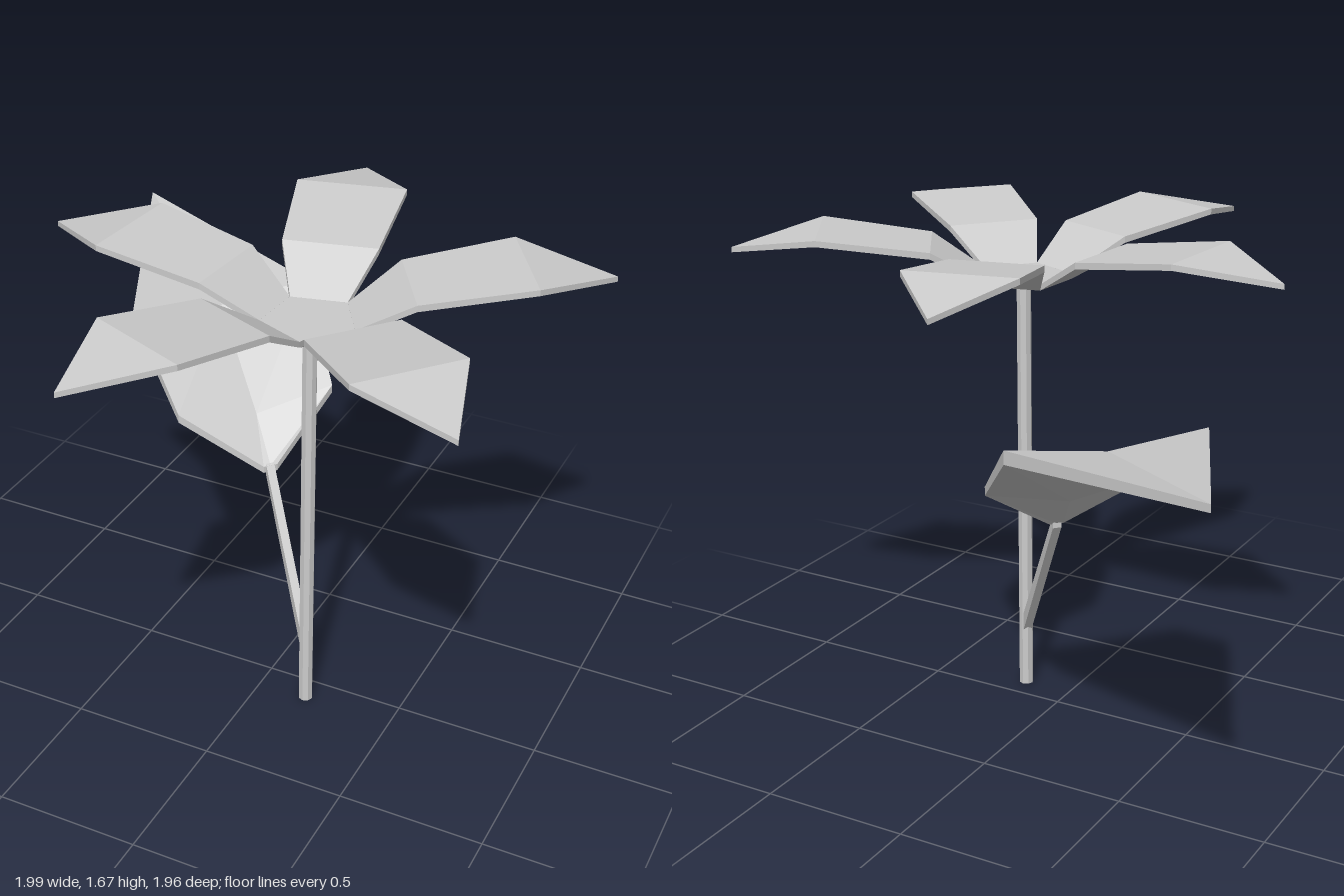
import * as THREE from 'three';

const grey = new THREE.MeshStandardMaterial({ color: 0xcccccc, flatShading: true });
const CENTRE = [0.177, 0.088]; // x, z of the stem

// Faceted slab growing along +x. Each row: [distance, half width, edge height, fold depth, thickness]
function slab(rows) {
  const pos = [];
  const top = rows.map(([u, w, y, fold]) => [
    new THREE.Vector3(u, y, -w), new THREE.Vector3(u, y - fold, 0), new THREE.Vector3(u, y, w),
  ]);
  const low = top.map((row, i) => row.map((p) => p.clone().setY(p.y - rows[i][4])));
  const tri = (a, b, c) => {
    const n = b.clone().sub(a).cross(c.clone().sub(a));
    if (n.length() > 1e-9) for (const p of [a, b, c]) pos.push(p.x, p.y, p.z);
  };
  const quad = (a, b, c, d) => { tri(a, b, c); tri(a, c, d); };
  const last = rows.length - 1;
  for (let i = 0; i < last; i++) {
    for (let j = 0; j < 2; j++) {
      quad(top[i][j], top[i][j + 1], top[i + 1][j + 1], top[i + 1][j]);
      quad(low[i][j], low[i + 1][j], low[i + 1][j + 1], low[i][j + 1]);
    }
    quad(top[i][0], top[i + 1][0], low[i + 1][0], low[i][0]);
    quad(top[i][2], low[i][2], low[i + 1][2], top[i + 1][2]);
  }
  // End walls
  for (let j = 0; j < 2; j++) {
    quad(top[0][j], low[0][j], low[0][j + 1], top[0][j + 1]);
    quad(top[last][j + 1], low[last][j + 1], low[last][j], top[last][j]);
  }
  const g = new THREE.BufferGeometry();
  g.setAttribute('position', new THREE.Float32BufferAttribute(pos, 3));
  g.computeVertexNormals();
  return g;
}

export function createModel() {
  const model = new THREE.Group();
  model.name = 'flower';

  // Adds a part around the stem axis, turned by an angle from +x towards +z
  const add = (name, geometry, y = 0, degrees = 0) => {
    const mesh = new THREE.Mesh(geometry, grey);
    mesh.name = name;
    mesh.position.set(CENTRE[0], y, CENTRE[1]);
    mesh.rotation.y = -THREE.MathUtils.degToRad(degrees);
    model.add(mesh);
  };

  // Stem and five-sided flower centre
  add('stem', new THREE.CylinderGeometry(0.025, 0.025, 1.49, 8), 0.745);
  const hub = new THREE.CylinderGeometry(0.158, 0.158, 0.02, 5);
  hub.rotateY(Math.PI / 2); // first corner on +x
  add('flowerCentre', hub, 1.5, 4.5);

  // Five arched petals
  const petal = slab([
    [0.128, 0.093, 1.51, 0, 0.02],
    [0.305, 0.158, 1.62, 0, 0.022],
    [0.67, 0.187, 1.67, 0, 0.02],
    [0.96, 0, 1.61, 0, 0.018],
  ]);
  for (let i = 0; i < 5; i++) add('petal' + (i + 1), petal, 0, 40.5 + 72 * i);

  // Large folded leaf on a slanting stalk
  add('leafStalk', slab([
    [0.015, 0.015, 0.275, 0, 0.065],
    [0.345, 0.015, 0.775, 0, 0.045],
  ]), 0, 222.3);
  add('leaf', slab([
    [0.34, 0.025, 0.768, 0, 0.025],
    [0.475, 0.285, 0.957, 0.055, 0.03],
    [0.82, 0.327, 1.2, 0.04, 0.045],
    [1.59, 0, 1.275, 0, 0.025],
  ]), 0, 222.3);

  return model;
}
